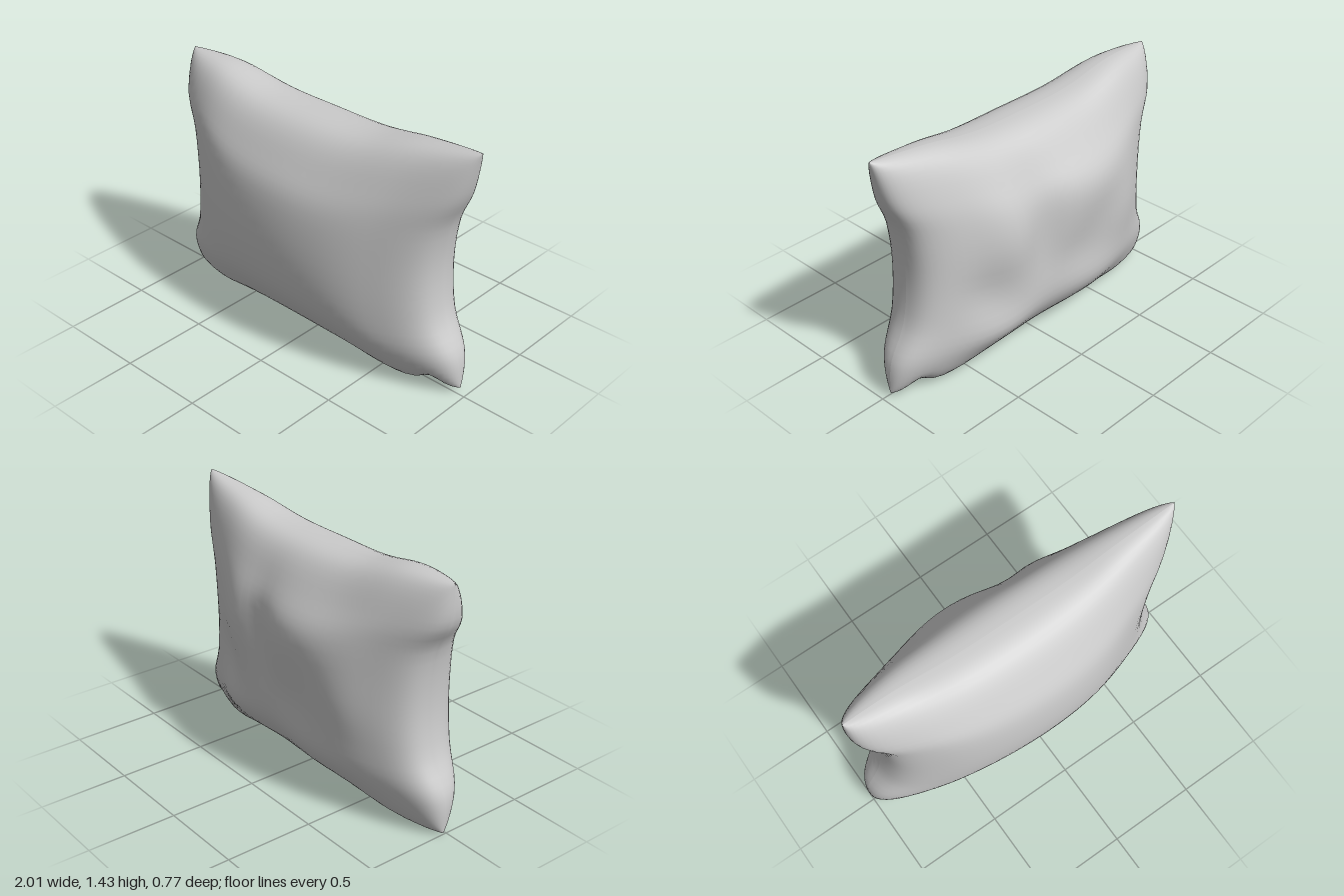
import * as THREE from 'three';

const SEAM_Z = -0.02;
const NU = 44, NV = 36;

const curve = (pts) => new THREE.SplineCurve(pts.map(([x, y]) => new THREE.Vector2(x, y)));

// Seam outline: four bowed sides meeting in pulled-out corners
const bottom = curve([[-1, 0.01], [-0.7, 0.007], [-0.36, 0.065], [0, 0.08], [0.33, 0.06], [0.64, 0.007], [0.96, 0.03]]);
const top = curve([[-1, 1.39], [-0.7, 1.39], [-0.36, 1.33], [0, 1.32], [0.33, 1.33], [0.64, 1.385], [1, 1.43]]);
const left = curve([[-1, 0.01], [-1, 0.22], [-0.905, 0.43], [-0.87, 0.7], [-0.9, 1.0], [-0.99, 1.18], [-1, 1.39]]);
const right = curve([[0.96, 0.03], [0.945, 0.22], [0.845, 0.43], [0.815, 0.7], [0.85, 0.97], [0.94, 1.18], [1, 1.43]]);

// Blend the four sides into a filled patch
function patch(s, t) {
  const b = bottom.getPoint(s), c = top.getPoint(s);
  const l = left.getPoint(t), r = right.getPoint(t);
  const mix = (k) => {
    const corners = (1 - t) * ((1 - s) * b0[k] + s * b1[k]) + t * ((1 - s) * t0[k] + s * t1[k]);
    return (1 - t) * b[k] + t * c[k] + (1 - s) * l[k] + s * r[k] - corners;
  };
  return [mix('x'), mix('y')];
}
const b0 = bottom.getPoint(0), b1 = bottom.getPoint(1);
const t0 = top.getPoint(0), t1 = top.getPoint(1);

const bump = (x, y, cx, cy, rx, ry) => Math.exp(-(((x - cx) / rx) ** 2) - ((y - cy) / ry) ** 2);

// Soft dents and swellings of the rumpled back: x, y, radius x, radius y, height
const rumples = [
  [-0.25, 0.97, 0.32, 0.2, 0.05],
  [-0.3, 0.25, 0.3, 0.16, 0.06],
  [0.14, 0.75, 0.13, 0.35, -0.04],
  [0.36, 0.85, 0.16, 0.25, 0.03],
  [0.5, 0.55, 0.16, 0.15, -0.035],
  [0.4, 0.27, 0.22, 0.12, 0.05],
  [-0.55, 0.65, 0.2, 0.22, 0.03],
  [-0.1, 0.55, 0.2, 0.15, -0.02],
];

function panel(side) {
  const pos = [], idx = [];
  for (let j = 0; j <= NV; j++) {
    for (let i = 0; i <= NU; i++) {
      // Rows crowd towards the seam, where the surface turns
      const a = (i / NU * 2 - 1) * Math.PI / 2, b = (j / NV * 2 - 1) * Math.PI / 2;
      let [x, y] = patch((Math.sin(a) + 1) / 2, (Math.sin(b) + 1) / 2);
      // Tuck beside the lower corner
      y += 0.05 * bump(x, y, 0.82, 0.01, 0.07, 0.1);
      const puff = Math.abs(Math.cos(a) * Math.cos(b));
      let depth = side > 0 ? 0.398 : 0.35;
      if (side < 0) for (const [cx, cy, rx, ry, h] of rumples) depth += h * bump(x, y, cx, cy, rx, ry);
      pos.push(x, y, SEAM_Z + side * depth * puff);
      if (i < NU && j < NV) {
        const p = j * (NU + 1) + i, q = p + NU + 1;
        if (side > 0) idx.push(p, p + 1, q + 1, p, q + 1, q);
        else idx.push(p, q + 1, p + 1, p, q, q + 1);
      }
    }
  }
  const geo = new THREE.BufferGeometry();
  geo.setAttribute('position', new THREE.Float32BufferAttribute(pos, 3));
  geo.setIndex(idx);
  geo.computeVertexNormals();
  return geo;
}

export function createModel() {
  const group = new THREE.Group();
  group.name = 'cushion';
  const material = new THREE.MeshStandardMaterial({ color: 0xcccccc, side: THREE.DoubleSide });
  for (const [name, side] of [['frontPanel', 1], ['backPanel', -1]]) {
    const mesh = new THREE.Mesh(panel(side), material);
    mesh.name = name;
    group.add(mesh);
  }
  return group;
}
